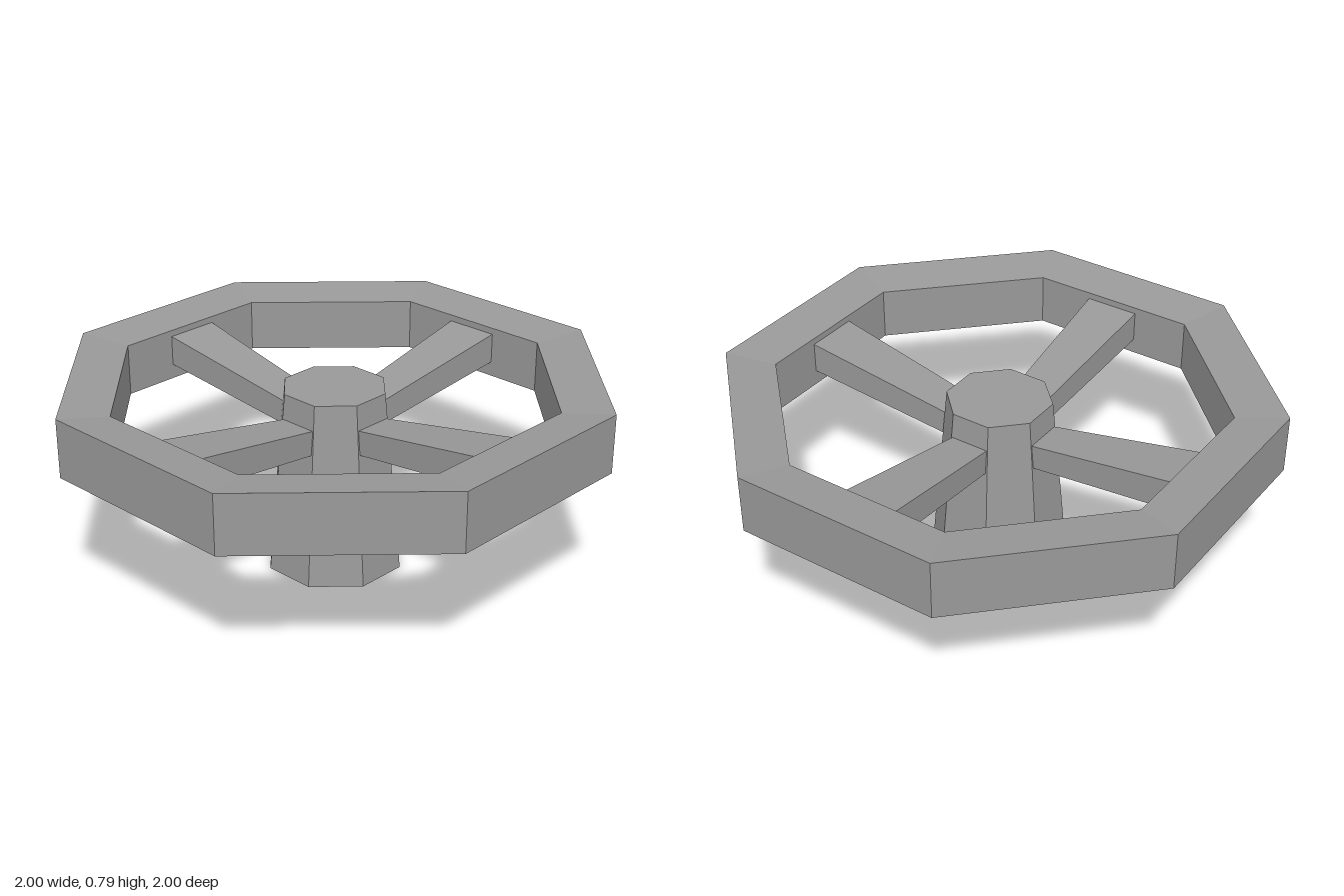
import * as THREE from 'three';

const SIDES = 8;
const K = 1 / Math.cos(Math.PI / SIDES); // centre-to-flat distance -> corner radius
const material = new THREE.MeshStandardMaterial({ color: 0x999999, flatShading: true });
const openMaterial = new THREE.MeshStandardMaterial({ color: 0x999999, flatShading: true, side: THREE.DoubleSide });

// Octagonal rim whose top face dips slightly towards the middle
function makeRim() {
  const section = [[0.815, 0.56], [1, 0.56], [1, 0.793], [0.815, 0.768], [0.815, 0.56]];
  const profile = section.map(([flat, y]) => new THREE.Vector2(flat * K, y));
  const geometry = new THREE.LatheGeometry(profile, SIDES).rotateY(Math.PI / SIDES);
  const rim = new THREE.Mesh(geometry, material);
  rim.name = 'rim';
  return rim;
}

// Tapered column, closed on top and open underneath
function makeHub(height) {
  const hub = new THREE.Group();
  hub.name = 'hub';
  const wall = new THREE.CylinderGeometry(0.19 * K, 0.255 * K, height, SIDES, 1, true);
  wall.rotateY(Math.PI / SIDES).translate(0, height / 2, 0);
  const column = new THREE.Mesh(wall, openMaterial);
  column.name = 'hubColumn';
  const lid = new THREE.CircleGeometry(0.19 * K, SIDES);
  lid.rotateX(-Math.PI / 2).rotateY(Math.PI / SIDES).translate(0, height, 0);
  const cap = new THREE.Mesh(lid, openMaterial);
  cap.name = 'hubCap';
  hub.add(column, cap);
  return hub;
}

// Spoke rising and widening from the hub to the rim, pointing along +z
function spokeGeometry() {
  const geometry = new THREE.BoxGeometry(1, 1, 1);
  const p = geometry.attributes.position;
  for (let i = 0; i < p.count; i++) {
    const outer = p.getZ(i) > 0;
    const upper = p.getY(i) > 0;
    const halfWidth = outer ? 0.11 : 0.078;
    const y = outer ? (upper ? 0.742 : 0.62) : (upper ? 0.635 : 0.537);
    const z = outer ? 0.815 : (upper ? 0.198 : 0.206);
    p.setXYZ(i, Math.sign(p.getX(i)) * halfWidth, y, z);
  }
  geometry.computeVertexNormals();
  return geometry;
}

export function createModel() {
  const wheel = new THREE.Group();
  wheel.name = 'handwheel';
  wheel.add(makeRim(), makeHub(0.735));

  const geometry = spokeGeometry();
  for (let i = 0; i < 4; i++) {
    const spoke = new THREE.Mesh(geometry, material);
    spoke.name = 'spoke' + (i + 1);
    spoke.rotation.y = i * Math.PI / 2;
    wheel.add(spoke);
  }
  return wheel;
}
